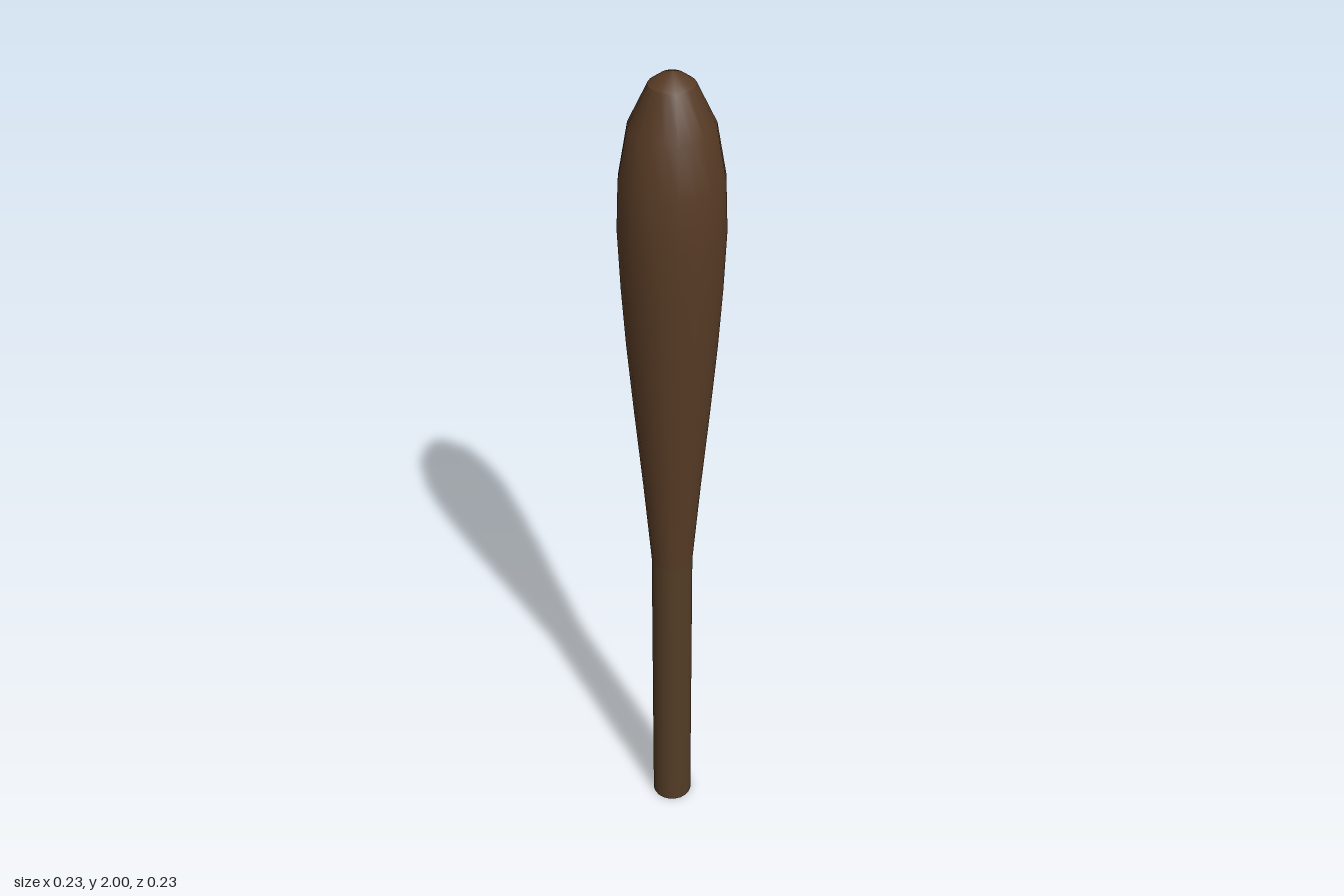
import * as THREE from 'three';

const SIDES = 20;

function lathe(name, profile, material) {
  const points = profile.map(([r, y]) => new THREE.Vector2(r, y));
  const mesh = new THREE.Mesh(new THREE.LatheGeometry(points, SIDES), material);
  mesh.name = name;
  return mesh;
}

export function createModel() {
  const group = new THREE.Group();
  group.name = 'club';
  const handleWood = new THREE.MeshStandardMaterial({ color: 0x533c25 });
  const headWood = new THREE.MeshStandardMaterial({ color: 0x573b25 });

  // Straight grip with a closed flat end
  const handle = new THREE.Mesh(new THREE.CylinderGeometry(0.048, 0.048, 0.79, SIDES), handleWood);
  handle.name = 'handle';
  handle.position.y = 0.395;
  group.add(handle);

  // Head swelling from the grip and rounding in towards the tip
  group.add(lathe('head', [
    [0.048, 0.78], [0.066, 1.0], [0.084, 1.2], [0.099, 1.38], [0.108, 1.52],
    [0.114, 1.66], [0.11, 1.77], [0.09, 1.885], [0.048, 1.973],
  ], headWood));

  // Shallow domed tip
  group.add(lathe('tip', [[0.048, 1.973], [0.025, 1.99], [0, 2]], headWood));

  return group;
}
